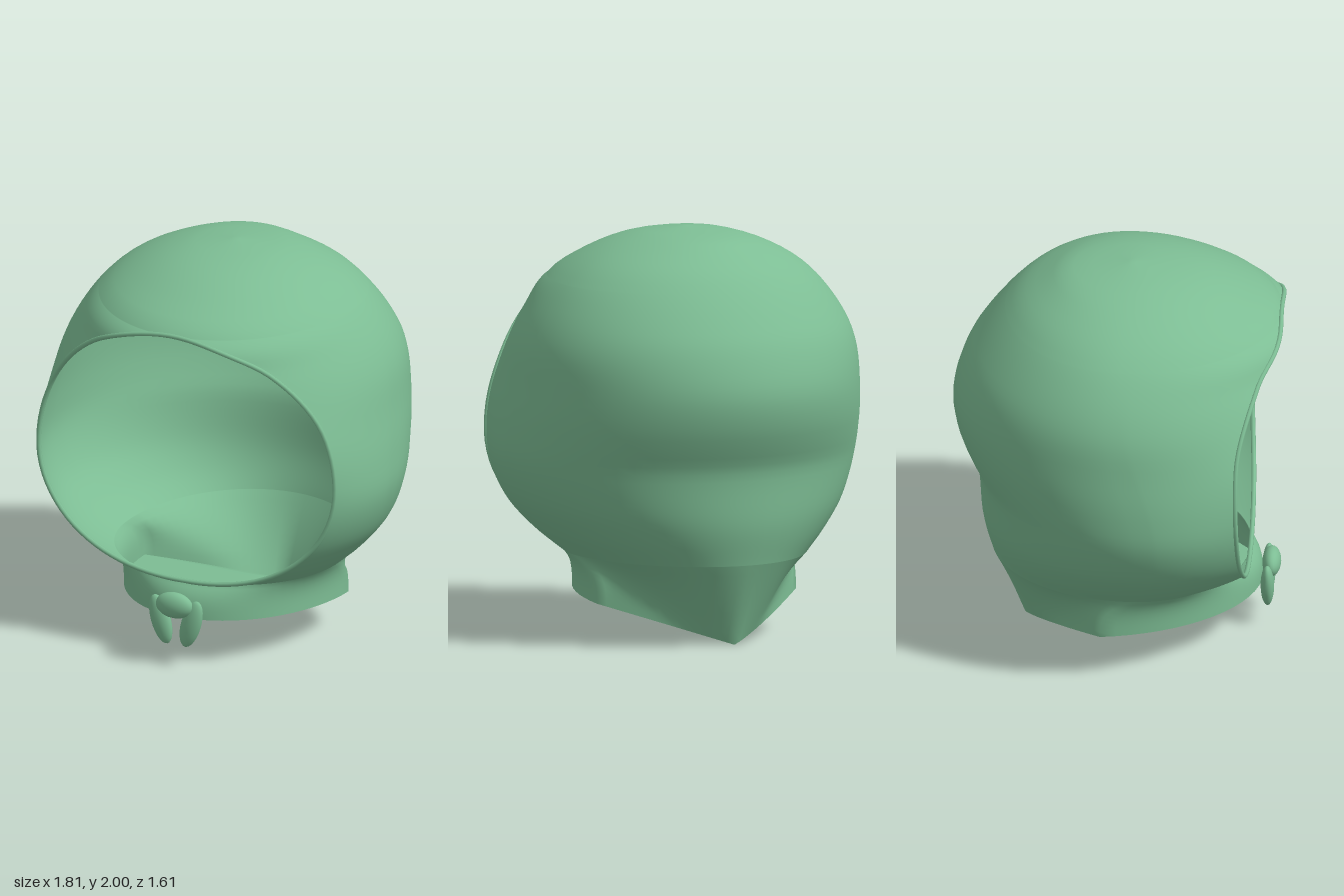
import * as THREE from 'three';
import { mergeVertices } from 'three/addons/utils/BufferGeometryUtils.js';

// Smooth lookup in a short table of [y, value], y descending
function lookup(table, y) {
  const n = table.length;
  if (y >= table[0][0]) return table[0][1];
  if (y <= table[n - 1][0]) return table[n - 1][1];
  let i = 0;
  while (table[i + 1][0] > y) i++;
  const slope = (k) => {
    const a = table[Math.max(k - 1, 0)], b = table[Math.min(k + 1, n - 1)];
    return (b[1] - a[1]) / (b[0] - a[0]);
  };
  const [y0, v0] = table[i], [y1, v1] = table[i + 1];
  const h = y1 - y0, t = (y - y0) / h, s = 1 - t;
  return v0 * s * s * (1 + 2 * t) + v1 * t * t * (3 - 2 * t) + h * s * t * (s * slope(i) - t * slope(i + 1));
}

// Half width, depth of the widest point, back and front outlines by height
const WIDTH = [[2, 0], [1.98, 0.2], [1.91, 0.42], [1.8, 0.6], [1.64, 0.74], [1.46, 0.83], [1.25, 0.87],
  [1.05, 0.9], [0.87, 0.9], [0.68, 0.83], [0.53, 0.71], [0.41, 0.58]];
const MIDDLE = [[2, 0.07], [1.8, 0.05], [1.46, 0.06], [1, 0.2], [0.7, 0.2], [0.41, 0.1]];
const BACK = [[2, 0.07], [1.97, -0.2], [1.91, -0.34], [1.8, -0.5], [1.55, -0.7], [1.4, -0.77], [1.25, -0.8],
  [1.1, -0.775], [0.98, -0.725], [0.88, -0.68], [0.6, -0.655], [0.41, -0.61]];
const FRONT = [[2, 0.07], [1.985, 0.22], [1.95, 0.4], [1.87, 0.6], [1.75, 0.8], [1.6, 0.71], [1.4, 0.635],
  [1.25, 0.612], [0.8, 0.62], [0.41, 0.65]];

// Point on a level; u runs 0 (back) to 1 (front), the first half is the back quarter
function levelPoint(y, rimX, u) {
  const w = lookup(WIDTH, y), m = lookup(MIDDLE, y);
  if (u <= 0.5) {
    const a = u * Math.PI;
    return new THREE.Vector3(w * Math.sin(a), y, m + (lookup(BACK, y) - m) * Math.cos(a));
  }
  const end = w > 0 ? Math.acos(Math.min(rimX / w, 0.999)) : Math.PI / 2;
  const b = (u - 0.5) * 2 * end;
  return new THREE.Vector3(u === 1 ? rimX : w * Math.cos(b), y,
    m + (lookup(FRONT, y) - m) * Math.sin(b) / Math.sin(end));
}

// Neck edge: rounded in front, drawn down to a point behind
function neckPoint(u) {
  if (u <= 0.5) {
    const s = u * 2;
    return new THREE.Vector3(0.55 * s, 0.19 * s, -0.45 + 0.39 * Math.pow(s, 1.25));
  }
  const b = (u - 0.5) * Math.PI;
  return new THREE.Vector3(u === 1 ? 0 : 0.55 * Math.cos(b), 0.19 + 0.05 * Math.sin(b), -0.06 + 0.77 * Math.sin(b));
}

// Collar: blends the lowest level into the neck edge
function collarPoint(k, u) {
  const p = levelPoint(0.41, 0, u), q = neckPoint(u);
  const power = 1 + 2.2 * THREE.MathUtils.smoothstep(u, 0.1, 0.5);
  const f = 1 - Math.pow(1 - k, power);
  return new THREE.Vector3(p.x + (q.x - p.x) * f, p.y + (q.y - p.y) * k, p.z + (q.z - p.z) * f);
}

// Surface through rows of points
function gridGeometry(rows) {
  const cols = rows[0].length, pos = [], idx = [];
  rows.forEach((row) => row.forEach((p) => pos.push(p.x, p.y, p.z)));
  for (let i = 0; i < rows.length - 1; i++) {
    for (let j = 0; j < cols - 1; j++) {
      const a = i * cols + j, c = a + cols;
      idx.push(a, a + 1, c, a + 1, c + 1, c);
    }
  }
  const g = new THREE.BufferGeometry();
  g.setAttribute('position', new THREE.Float32BufferAttribute(pos, 3));
  g.setIndex(idx);
  const merged = mergeVertices(g, 1e-4);
  merged.computeVertexNormals();
  return merged;
}

export function createModel() {
  const group = new THREE.Group();
  const cloth = new THREE.MeshStandardMaterial({ color: 0x7dbd94, side: THREE.DoubleSide });
  cloth.name = 'green cloth';
  const add = (name, geometry) => {
    const mesh = new THREE.Mesh(geometry, cloth);
    mesh.name = name;
    group.add(mesh);
    return mesh;
  };

  const HALF = 32;
  const fullRow = (fn) => {
    const row = [];
    for (let j = -HALF; j <= HALF; j++) {
      const p = fn(Math.abs(j) / HALF);
      if (j < 0) p.x = -p.x;
      row.push(p);
    }
    return row;
  };

  // Hood: closed crown, levels open at the face, closed collar
  const rows = [], rim = [];
  for (let i = 0; i < 12; i++) {
    const y = 1.75 + 0.25 * Math.cos((i / 12) * Math.PI / 2);
    rows.push(fullRow((u) => levelPoint(y, 0, u)));
  }
  const STEPS = 44;
  for (let i = 0; i <= STEPS; i++) {
    const t = (i / STEPS) * Math.PI, c = Math.cos(t);
    const y = 1 + (c > 0 ? 0.75 : 0.59) * c;
    const x = i % STEPS === 0 ? 0 : 0.8 * Math.pow(Math.sin(t), c > 0 ? 1 : 0.9);
    rows.push(fullRow((u) => levelPoint(y, x, u)));
    rim.push(levelPoint(y, x, 1));
  }
  for (let i = 1; i <= 8; i++) rows.push(fullRow((u) => collarPoint(i / 8, u)));
  add('hood', gridGeometry(rows));

  // Rolled hem around the face opening
  const mirrored = rim.slice(1, -1).reverse().map((p) => new THREE.Vector3(-p.x, p.y, p.z));
  const hem = new THREE.CatmullRomCurve3([...rim, ...mirrored], true);
  add('faceHem', new THREE.TubeGeometry(hem, 96, 0.012, 8, true));

  // Panel closing the neck
  const neck = [];
  for (let j = 0; j <= HALF; j++) {
    const p = neckPoint(j / HALF);
    neck.push([p, new THREE.Vector3(-p.x, p.y, p.z)]);
  }
  add('neckPanel', gridGeometry(neck));

  // Tie under the chin
  const knot = add('tieKnot', new THREE.SphereGeometry(1, 20, 14));
  knot.scale.set(0.098, 0.066, 0.046);
  knot.position.set(0, 0.318, 0.752);
  for (const side of [1, -1]) {
    const end = add(side > 0 ? 'leftTieEnd' : 'rightTieEnd', new THREE.SphereGeometry(1, 16, 14));
    end.scale.set(0.052, 0.128, 0.033);
    end.position.set(side * 0.082, 0.226, 0.734);
    end.rotation.z = -side * 0.28;
  }
  return group;
}
